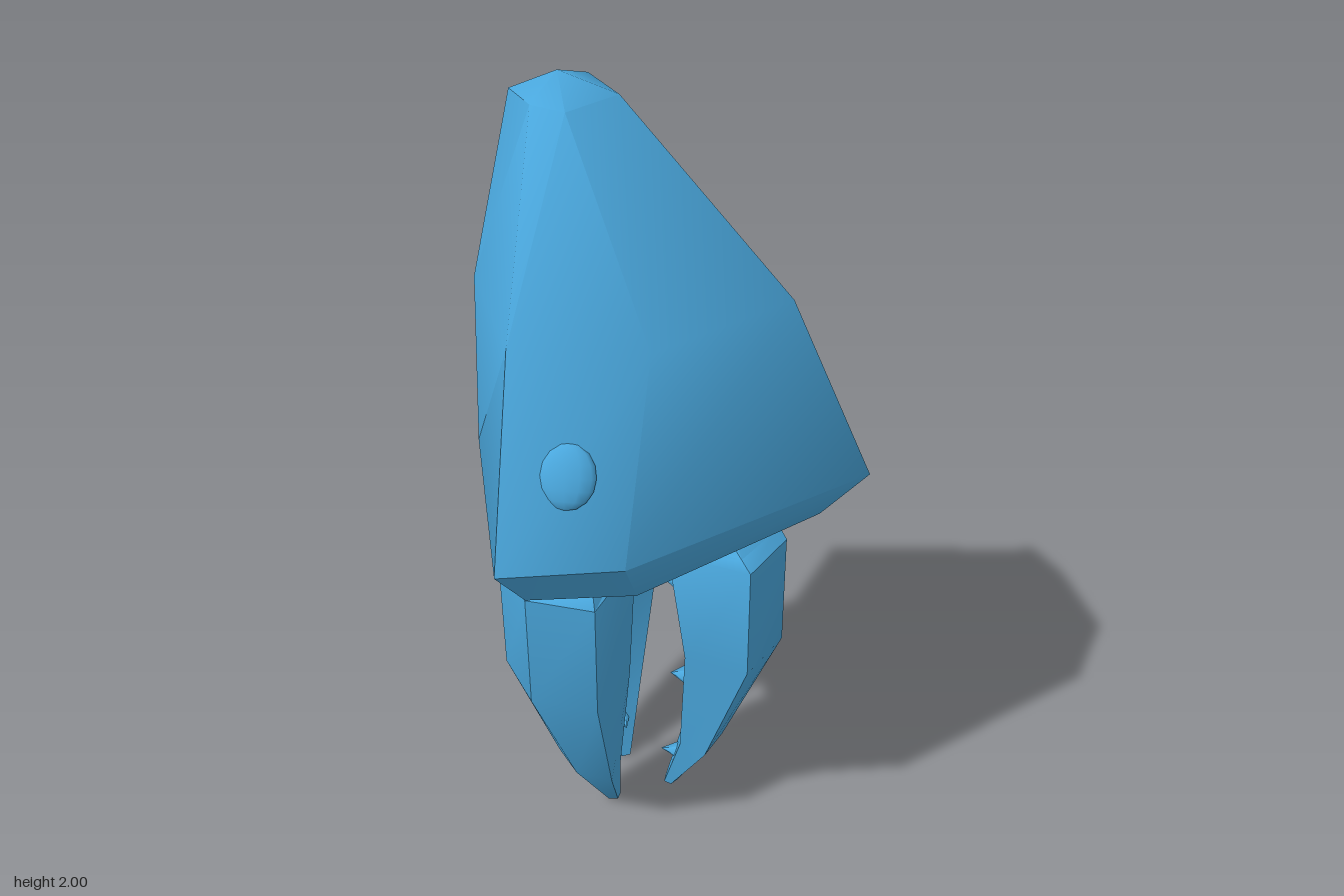
import * as THREE from 'three';
import { toCreasedNormals } from 'three/addons/utils/BufferGeometryUtils.js';

const material = new THREE.MeshStandardMaterial({ color: 0x4aa8de });

// Skin between rings listed bottom to top; each ring is { y, pts: [[x, z], ...] } running from +x towards +z.
function loft(rings, bottom, top, crease) {
  const n = rings[0].pts.length;
  const pos = [];
  const index = [];
  for (const { y, pts } of rings) for (const [x, z] of pts) pos.push(x, y, z);
  const b = rings.length * n;
  pos.push(...bottom, ...top);
  const last = (rings.length - 1) * n;
  for (let i = 0; i < n; i++) {
    const j = (i + 1) % n;
    for (let r = 0; r < last; r += n) {
      index.push(r + i, r + n + i, r + j, r + j, r + n + i, r + n + j);
    }
    index.push(b, i, j, b + 1, last + j, last + i);
  }
  const geo = new THREE.BufferGeometry();
  geo.setAttribute('position', new THREE.Float32BufferAttribute(pos, 3));
  geo.setIndex(index);
  return toCreasedNormals(geo, crease);
}

function addMesh(parent, name, geometry) {
  const mesh = new THREE.Mesh(geometry, material);
  mesh.name = name;
  parent.add(mesh);
  return mesh;
}

// Six-sided hood: front ridge, two corners per side, back ridge.
function hoodGeometry() {
  const rows = [
    // y, ridge +x, corner A x/z, corner B x/z, ridge -x
    [0.945, 0.355, -0.02, 0.375, -0.26, 0.43, -0.42],
    [1.07, 0.465, -0.03, 0.45, -0.3, 0.52, -0.47],
    [1.51, 0.27, 0.0, 0.28, -0.3, 0.31, -0.45],
    [1.955, -0.11, -0.2, 0.115, -0.28, 0.085, -0.345],
  ];
  const rings = rows.map(([y, f, ax, az, bx, bz, k]) => ({
    y,
    pts: [[f, 0], [ax, az], [bx, bz], [k, 0], [bx, -bz], [ax, -az]],
  }));
  return loft(rings, [-0.1, 0.945, 0], [-0.24, 2, 0], 0.85);
}

// Five-sided claw along +x: flat inner face, rounded outer face.
function clawGeometry() {
  const rows = [
    // y, inner r, side r, outer r, side half width, inner half width
    [0.01, 0.08, 0.1, 0.115, 0.02, 0.012],
    [0.2, 0.13, 0.2, 0.235, 0.09, 0.06],
    [0.55, 0.15, 0.31, 0.38, 0.15, 0.115],
    [0.86, 0.105, 0.31, 0.38, 0.152, 0.1],
    [0.88, 0.12, 0.285, 0.35, 0.125, 0.08],
    [0.96, 0.14, 0.2, 0.23, 0.05, 0.035],
  ];
  const rings = rows.map(([y, ri, rs, ro, w, wi]) => ({
    y,
    pts: [[ro, 0], [rs, w], [ri, wi], [ri, -wi], [rs, -w]],
  }));
  return loft(rings, [0.098, 0.005, 0], [0.18, 0.96, 0], 0.8);
}

export function createModel() {
  const model = new THREE.Group();
  model.name = 'clawedHood';

  addMesh(model, 'hood', hoodGeometry());

  // Flattened eyes lying against the sloping sides
  const eyeGeo = new THREE.SphereGeometry(1, 12, 8);
  for (const s of [1, -1]) {
    const eye = addMesh(model, s > 0 ? 'frontEye' : 'backEye', eyeGeo);
    eye.scale.set(0.064, 0.074, 0.024);
    eye.position.set(-0.16, 1.27, s * 0.403);
    eye.rotation.x = -s * 0.43;
  }

  // Three claws around a common axis, each with teeth on the inner face
  const clawGeo = clawGeometry();
  const teeth = [
    // y, tip r, base r, radius
    [0.715, 0.065, 0.15, 0.06],
    [0.395, 0.095, 0.155, 0.038],
    [0.122, 0.07, 0.125, 0.028],
  ];
  for (let i = 0; i < 3; i++) {
    const claw = new THREE.Group();
    claw.name = 'claw' + (i + 1);
    claw.position.x = -0.1;
    claw.rotation.y = (i * Math.PI * 2) / 3;
    addMesh(claw, 'clawBlade', clawGeo);
    for (const [y, tip, base, radius] of teeth) {
      const tooth = addMesh(claw, 'tooth', new THREE.ConeGeometry(radius, base - tip, 6));
      tooth.position.set((tip + base) / 2, y, 0);
      tooth.rotation.z = Math.PI / 2;
    }
    model.add(claw);
  }
  return model;
}
